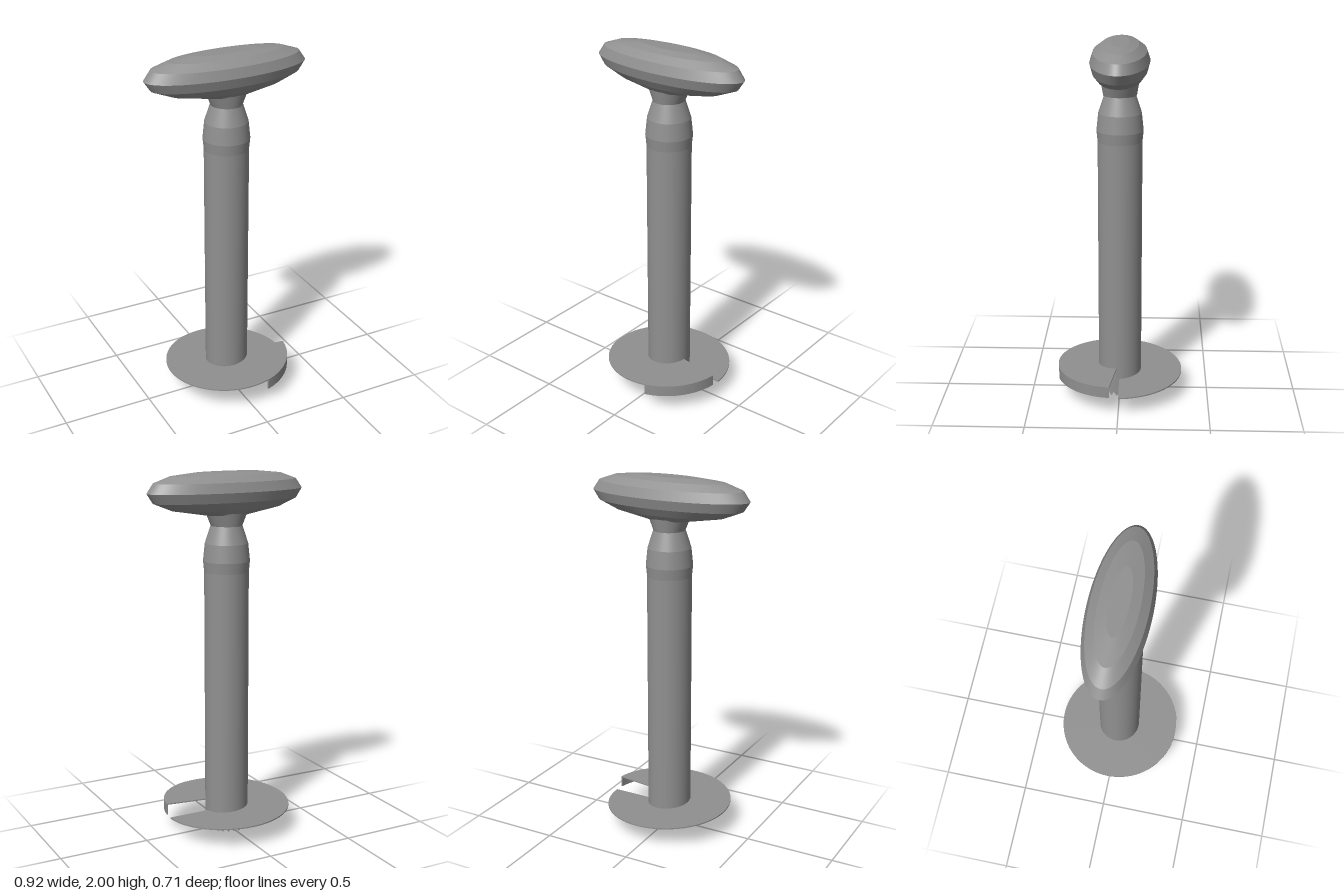
import * as THREE from 'three';

const TAU = Math.PI * 2;
const grey = new THREE.MeshStandardMaterial({ color: 0x909090, side: THREE.DoubleSide });
grey.name = 'grey';

// Turns a profile of [radiusX, y, radiusZ, offset(angle)] points about y.
// Each band is smooth around the axis with a crease at every profile point.
function turned(name, profile, { from = 0, to = TAU, steps = 64, offset = () => 0, capped = false } = {}) {
  const pos = [], index = [], normals = [];
  const at = ([rx, y, rz = rx, own = offset], a) =>
    new THREE.Vector3(rx * Math.cos(a), y + own(a), rz * Math.sin(a));
  const add = (p, n) => { pos.push(p.x, p.y, p.z); normals.push(n.x, n.y, n.z); };
  for (let j = 0; j < profile.length - 1; j++) {
    const start = pos.length / 3;
    for (let i = 0; i <= steps; i++) {
      const a = from + (to - from) * i / steps;
      const p = at(profile[j], a), q = at(profile[j + 1], a);
      // Normal from the slope of the band and the direction of turning
      const wide = p.x ** 2 + p.z ** 2 > q.x ** 2 + q.z ** 2 ? profile[j] : profile[j + 1];
      const [rx, , rz = rx] = wide;
      const along = new THREE.Vector3(-rx * Math.sin(a), 0, rz * Math.cos(a));
      const n = q.clone().sub(p).cross(along).normalize();
      add(p, n);
      add(q, n);
      if (i < steps) {
        const k = start + i * 2;
        index.push(k, k + 1, k + 2, k + 1, k + 3, k + 2);
      }
    }
  }
  // Flat ends for a partly turned four-sided section
  if (capped) {
    for (const [a, s] of [[from, -1], [to, 1]]) {
      const k = pos.length / 3;
      const n = new THREE.Vector3(-Math.sin(a) * s, 0, Math.cos(a) * s);
      for (let c = 0; c < 4; c++) add(at(profile[c], a), n);
      index.push(...(s > 0 ? [k, k + 1, k + 2, k, k + 2, k + 3] : [k, k + 2, k + 1, k, k + 3, k + 2]));
    }
  }
  const geo = new THREE.BufferGeometry();
  geo.setAttribute('position', new THREE.Float32BufferAttribute(pos, 3));
  geo.setAttribute('normal', new THREE.Float32BufferAttribute(normals, 3));
  geo.setIndex(index);
  const mesh = new THREE.Mesh(geo, grey);
  mesh.name = name;
  return mesh;
}

// Closed rectangular section, anticlockwise from the lower outer corner
const section = (r0, r1, y0, y1) => [[r1, y0], [r1, y1], [r0, y1], [r0, y0], [r1, y0]];

export function createModel() {
  const group = new THREE.Group();
  group.name = 'handAuger';

  // Hollow shaft with a ring of cutting teeth along its lower edge
  const teeth = 24;
  const toothed = (a) => 0.022 * Math.abs(((a / TAU * teeth) % 1) * 2 - 1);
  group.add(turned('toothedShaft', [
    [0.112, 1.47], [0.112, 0, 0.112, toothed], [0.121, 0, 0.121, toothed], [0.121, 1.47],
  ], { steps: teeth * 4 }));

  // Swollen collar tapering to the waist, then flaring into the grip
  group.add(turned('collar', [
    [0.121, 1.465], [0.127, 1.525], [0.117, 1.62], [0.086, 1.715],
  ]));
  group.add(turned('neck', [[0.084, 1.715, 0.09], [0.115, 1.785, 0.102]]));

  // Wide oval grip
  group.add(turned('grip', [
    [0, 1.772, 0], [0.13, 1.775, 0.09], [0.32, 1.806, 0.118], [0.425, 1.848, 0.146], [0.46, 1.9, 0.16],
    [0.423, 1.952, 0.143], [0.33, 1.985, 0.1], [0.185, 2, 0.05], [0, 2, 0],
  ], { steps: 96 }));

  // One spiral turn of blade, rising from its open edge
  const deg = Math.PI / 180;
  const rise = (a) => -a / TAU * 0.065;
  group.add(turned('spiralBlade', section(0.116, 0.353, 0.1, 0.107),
    { from: -352 * deg, to: 0, steps: 96, offset: rise, capped: true }));

  // Curved skirt hanging from the raised end of the blade
  group.add(turned('bladeSkirt', section(0.349, 0.356, 0.043, 0.107),
    { from: -352 * deg, to: -285 * deg, steps: 24, offset: rise, capped: true }));

  return group;
}
